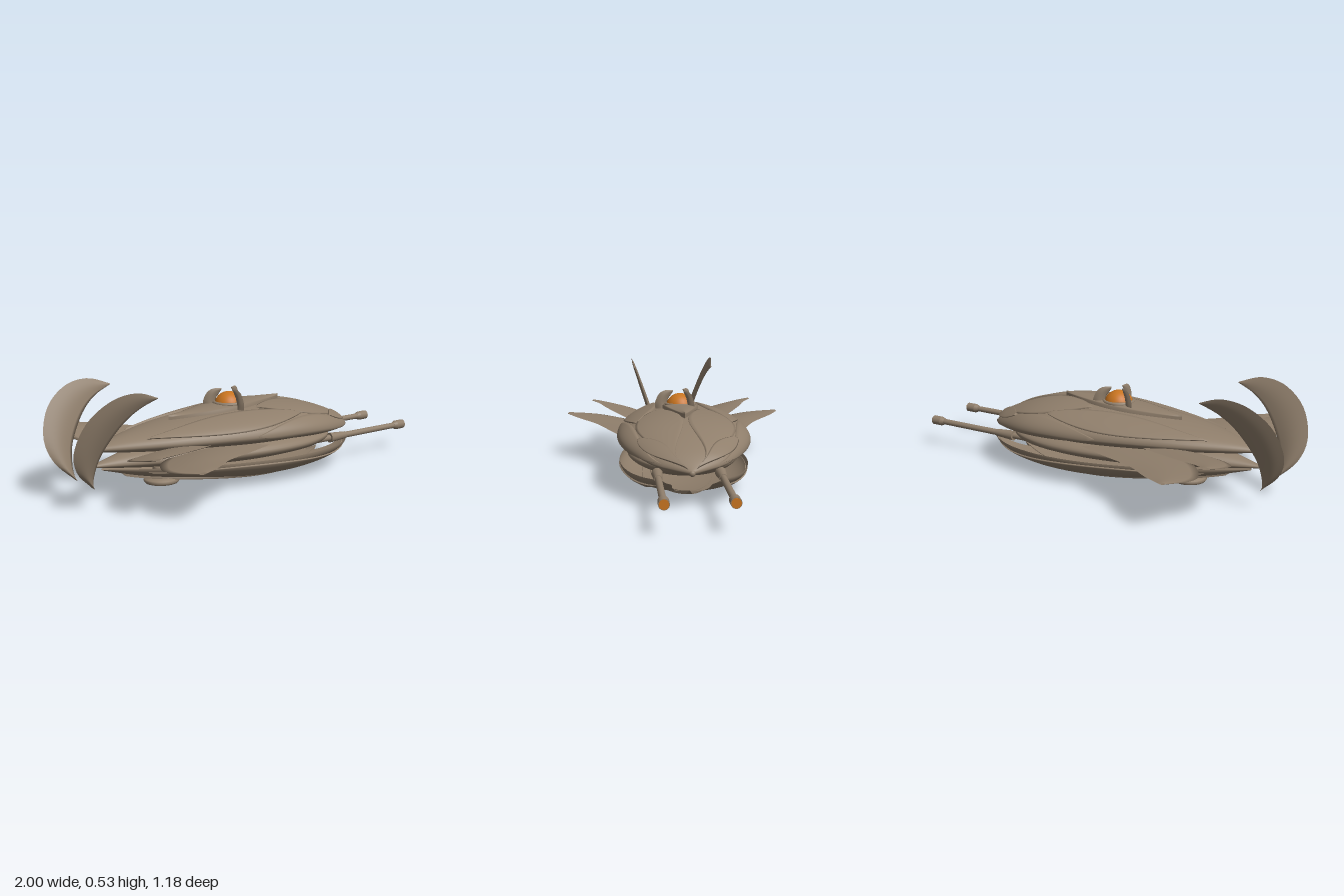
import * as THREE from 'three';

const hullMat = new THREE.MeshStandardMaterial({ color: 0x8f7e6b, side: THREE.DoubleSide });
hullMat.name = 'bronze hull';
const glowMat = new THREE.MeshStandardMaterial({ color: 0xc87420 });
glowMat.name = 'amber glow';

// Surface from a rule f(u, v) -> [x, y, z]
function surface(nu, nv, f) {
  const pos = [], idx = [];
  for (let i = 0; i <= nu; i++)
    for (let j = 0; j <= nv; j++) pos.push(...f(i / nu, j / nv));
  for (let i = 0; i < nu; i++)
    for (let j = 0; j < nv; j++) {
      const a = i * (nv + 1) + j, b = a + nv + 1;
      idx.push(a, a + 1, b, b, a + 1, b + 1);
    }
  const g = new THREE.BufferGeometry();
  g.setAttribute('position', new THREE.Float32BufferAttribute(pos, 3));
  g.setIndex(idx);
  g.computeVertexNormals();
  return g;
}

// Smooth interpolation of stations [x, halfWidth, top, middle, bottom]
function sample(st, x) {
  const n = st.length;
  let i = 0;
  while (i < n - 2 && x > st[i + 1][0]) i++;
  const h = st[i + 1][0] - st[i][0], t = THREE.MathUtils.clamp((x - st[i][0]) / h, 0, 1);
  const slope = (k, c) => {
    const a = st[Math.max(k - 1, 0)], b = st[Math.min(k + 1, n - 1)];
    return (b[c] - a[c]) / (b[0] - a[0]);
  };
  return [1, 2, 3, 4].map((c) => {
    const p = st[i][c], q = st[i + 1][c], t2 = t * t, t3 = t2 * t;
    return p * (2 * t3 - 3 * t2 + 1) + q * (3 * t2 - 2 * t3) +
      h * (slope(i, c) * (t3 - 2 * t2 + t) + slope(i + 1, c) * (t3 - t2));
  });
}

function hullPoint(st, x, angle, off = 0) {
  const [w, top, mid, bot] = sample(st, x);
  const s = Math.sin(angle), c = Math.cos(angle);
  return [x, mid + s * ((s > 0 ? top - mid : mid - bot) + off), c * (Math.max(w, 0) + off)];
}

// Whole hull, or the part of it between two angles with a rule for its front end
function shell(st, a0 = -Math.PI / 2, a1 = Math.PI * 1.5, front = () => st[st.length - 1][0]) {
  return surface(48, 48, (u, v) => {
    const x0 = st[0][0];
    return hullPoint(st, x0 + (front(v) - x0) * u, a0 + (a1 - a0) * v);
  });
}

// Pointed armour plate lying on a hull, with a thin skirt around its edge
function leaf(st, x0, x1, angle, half, off, drift = 0) {
  return surface(36, 16, (u, v) => {
    const k = THREE.MathUtils.clamp((v * 16 - 1) / 7 - 1, -1, 1);
    const edge = v === 0 || v === 1 || u === 0 || u === 1;
    const a = angle + drift * (u - 0.5) + k * half * Math.pow(Math.sin(Math.PI * u), 0.85);
    return hullPoint(st, x0 + (x1 - x0) * u, a, edge ? -0.003 : off);
  });
}

// Lens-section blade between two edge curves, placed by map(a, b, offset)
function blade(lead, trail, thick, map) {
  const curve = (p) => new THREE.SplineCurve(p.map((q) => new THREE.Vector2(...q)));
  const A = curve(lead), B = curve(trail);
  return surface(28, 20, (u, v) => {
    const a = A.getPoint(u), b = B.getPoint(u);
    const t = v < 0.5 ? v * 2 : 2 - v * 2;
    const o = Math.sin(t * Math.PI) * (v < 0.5 ? 1 : -1) * thick * (1 - 0.8 * u) / 2;
    const p = a.lerp(b, t);
    return map(p.x, p.y, o);
  });
}

const UPPER = [
  [-0.85, 0, 0.245, 0.24, 0.235], [-0.7, 0.085, 0.283, 0.245, 0.215],
  [-0.5, 0.18, 0.315, 0.25, 0.2], [-0.3, 0.245, 0.337, 0.25, 0.19],
  [-0.08, 0.295, 0.352, 0.248, 0.18], [0.14, 0.312, 0.354, 0.245, 0.178],
  [0.3, 0.293, 0.335, 0.235, 0.175], [0.45, 0.23, 0.293, 0.215, 0.17],
  [0.56, 0.15, 0.245, 0.195, 0.166], [0.64, 0.012, 0.187, 0.178, 0.165],
];
const CORE = [
  [-0.85, 0.005, 0.17, 0.165, 0.16], [-0.6, 0.1, 0.22, 0.165, 0.13],
  [-0.2, 0.24, 0.23, 0.165, 0.1], [0.15, 0.27, 0.23, 0.165, 0.1],
  [0.4, 0.19, 0.2, 0.165, 0.11], [0.54, 0.04, 0.18, 0.165, 0.15],
];
const LOWER = [
  [-0.79, 0.01, 0.15, 0.145, 0.14], [-0.6, 0.12, 0.15, 0.142, 0.088],
  [-0.4, 0.205, 0.15, 0.138, 0.053], [-0.1, 0.285, 0.15, 0.132, 0.018],
  [0.14, 0.31, 0.15, 0.13, 0.013], [0.35, 0.28, 0.15, 0.128, 0.03],
  [0.5, 0.215, 0.15, 0.13, 0.06], [0.62, 0.11, 0.15, 0.135, 0.11],
];

export function createModel() {
  const model = new THREE.Group();
  const add = (name, geo, mat = hullMat, pos = [0, 0, 0], parent = model) => {
    const m = new THREE.Mesh(geo, mat);
    m.name = name;
    m.position.set(...pos);
    parent.add(m);
    return m;
  };
  const PI = Math.PI;

  // Hull bodies
  add('upperHull', shell(UPPER));
  add('innerHull', shell(CORE));
  add('keelPlate', leaf(LOWER, -0.7, 0.5, -PI / 2, 0.55, 0.013));
  add('noseTip', new THREE.SphereGeometry(0.015, 16, 12), hullMat, [0.633, 0.173, 0]);

  for (const s of [1, -1]) {
    const side = s > 0 ? 'left' : 'right';
    const ang = (a) => (s > 0 ? a : PI - a);

    // Lower flank petals, cut back near the keel to leave an open mouth
    add(side + 'LowerFlank', shell(LOWER, -PI / 2, s > 0 ? 0 : -PI,
      (v) => 0.42 + 0.2 * Math.sin(Math.min(v * 1.5, 1) * PI / 2) - 0.06 * Math.max(0, v - 0.67)));
    add(side + 'FlankPlate', leaf(LOWER, -0.62, 0.56, ang(-0.5), 0.36, 0.008, s * -0.2));

    // Overlapping armour plates on the upper hull
    add(side + 'RearPlate', leaf(UPPER, -0.62, 0.2, ang(0.72), 0.42, 0.009, s * 0.1));
    add(side + 'FrontPlate', leaf(UPPER, 0.0, 0.6, ang(1.1), 0.42, 0.007, s * -0.2));
    add(side + 'CheekPlate', leaf(UPPER, -0.12, 0.58, ang(0.15), 0.5, 0.009, s * 0.2));
    add(side + 'BrowPlate', leaf(UPPER, 0.38, 0.635, ang(0.75), 0.3, 0.014, s * 0.3));

    // Swept wings
    add(side + 'LargeWing', blade(
      [[-0.02, 0.25], [-0.2, 0.34], [-0.38, 0.42], [-0.52, 0.53], [-0.615, 0.588]],
      [[-0.45, 0.08], [-0.6, 0.2], [-0.70, 0.37], [-0.705, 0.48], [-0.655, 0.58]],
      0.05, (x, z, o) => [x, 0.187 + (z - 0.2) * 0.12 + o, s * z]));
    add(side + 'SmallWing', blade(
      [[-0.28, 0.18], [-0.45, 0.29], [-0.6, 0.37], [-0.7, 0.41], [-0.755, 0.455]],
      [[-0.6, 0.08], [-0.72, 0.15], [-0.8, 0.25], [-0.81, 0.37], [-0.79, 0.44]],
      0.04, (x, z, o) => [x, 0.227 + (z - 0.2) * 0.23 + o, s * z]));

    // Crescent tail fins leaning outward
    add(side + 'TailFin', blade(
      [[-0.88, 0.09], [-0.97, 0.18], [-1, 0.29], [-0.955, 0.42], [-0.85, 0.505], [-0.73, 0.525], [-0.62, 0.49]],
      [[-0.88, 0.09], [-0.885, 0.15], [-0.868, 0.24], [-0.82, 0.33], [-0.765, 0.4], [-0.70, 0.45], [-0.62, 0.485]],
      0.035, (x, y, o) => [x, y, s * (0.162 + (y - 0.33) * 0.33 + o)]));

    // Long guns with glowing muzzles
    const gun = new THREE.Group();
    gun.name = side + 'Gun';
    gun.position.set(0, 0.135, s * 0.145);
    model.add(gun);
    const rod = (name, r0, r1, x0, x1, mat) => add(name, new THREE.CylinderGeometry(r1, r0, x1 - x0, 24)
      .rotateZ(-PI / 2), mat, [(x0 + x1) / 2, 0, 0], gun);
    rod('barrel', 0.016, 0.015, 0.35, 0.94, hullMat);
    rod('collar', 0.026, 0.018, 0.46, 0.57, hullMat);
    rod('muzzleTaper', 0.016, 0.024, 0.925, 0.945, hullMat);
    rod('muzzle', 0.024, 0.024, 0.945, 0.997, hullMat);
    rod('muzzleGlow', 0.021, 0.021, 0.994, 1, glowMat);
  }

  // Raised leaf-shaped deck under the dome
  const deck = surface(32, 16, (u, v) => {
    const w = 0.09 * Math.sin(PI * u) ** 0.9, k = v * 2 - 1;
    const lift = Math.abs(k) === 1 ? -0.03 : 0.012 * (1 - k * k);
    return [-0.43 + 0.66 * u, 0.335 + 0.03 * Math.sin(PI * Math.min(u * 0.62, 1)) + lift,
      w * THREE.MathUtils.clamp(k * 8 / 7, -1, 1)];
  });
  add('domeDeck', deck);

  // Glowing dome held by three claws
  add('dome', new THREE.SphereGeometry(0.072, 32, 20), glowMat, [-0.08, 0.35, 0]);
  add('domeRing', new THREE.TorusGeometry(0.072, 0.009, 10, 32).rotateX(PI / 2), hullMat, [-0.08, 0.368, 0]);
  for (const a of [PI / 2, PI / 2 + 2 * PI / 3, PI / 2 - 2 * PI / 3])
    add('domeClaw', blade(
      [[0.125, 0.345], [0.125, 0.38], [0.105, 0.42], [0.075, 0.437], [0.035, 0.438]],
      [[0.06, 0.345], [0.066, 0.37], [0.06, 0.395], [0.048, 0.412], [0.035, 0.432]],
      0.026, (r, y, o) => [-0.08 + r * Math.cos(a) - o * Math.sin(a), y, r * Math.sin(a) + o * Math.cos(a)]));

  // Belly thruster
  const pod = [[0, 0.065], [0.06, 0.062], [0.082, 0.052], [0.086, 0.043], [0.08, 0.033], [0.066, 0.03], [0.062, 0.038], [0, 0.038]];
  add('thrusterPod', new THREE.LatheGeometry(pod.map((p) => new THREE.Vector2(...p)), 40), hullMat, [-0.475, 0, 0]);
  add('thrusterGlow', new THREE.CylinderGeometry(0.064, 0.064, 0.005, 40), glowMat, [-0.475, 0.035, 0]);
  add('thrusterMount', new THREE.CylinderGeometry(0.04, 0.05, 0.05, 24), hullMat, [-0.475, 0.085, 0]);

  return model;
}
